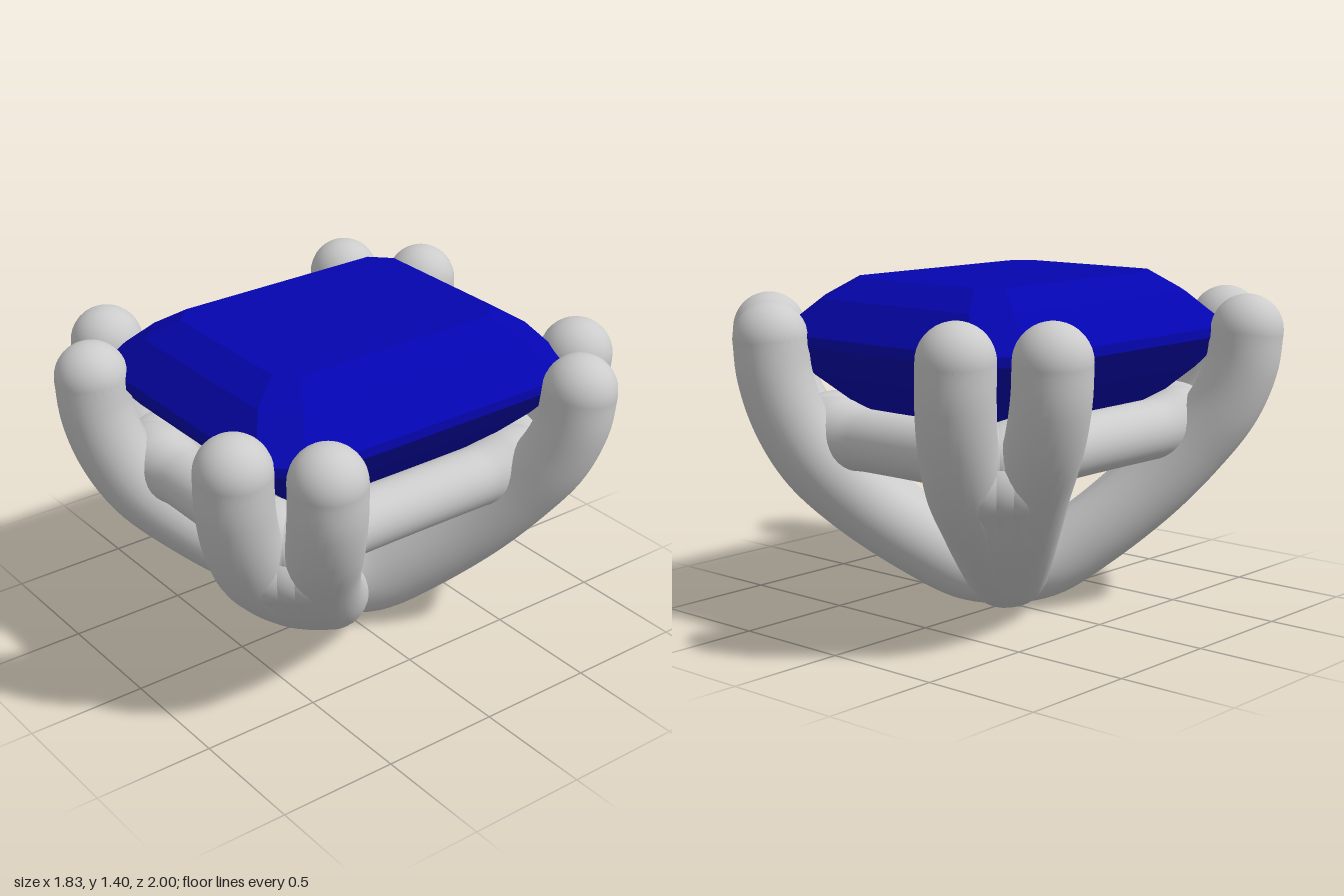
import * as THREE from 'three';
import { mergeGeometries } from 'three/addons/utils/BufferGeometryUtils.js';

const metal = new THREE.MeshStandardMaterial({ color: 0xcccccc });
const blue = new THREE.MeshStandardMaterial({ color: 0x0505b0, flatShading: true });

// Tube along a smooth path with a rounded tip
function rod(points, r) {
  const pts = points.map((p) => new THREE.Vector3(...p));
  const curve = new THREE.CatmullRomCurve3(pts, false, 'centripetal');
  const tip = pts[pts.length - 1];
  return mergeGeometries([
    new THREE.TubeGeometry(curve, 48, r, 28),
    new THREE.SphereGeometry(r, 28, 18).translate(tip.x, tip.y, tip.z),
  ]);
}

// Rail of half length h along y, swelling where it meets the prongs
function railGeometry(h) {
  const half = [[0.125, h - 0.36], [0.127, h - 0.28], [0.14, h - 0.21], [0.155, h - 0.14],
    [0.15, h - 0.05], [0.125, h + 0.02], [0.08, h + 0.08], [0, h + 0.1]];
  const profile = [...half.map(([r, y]) => [r, -y]).reverse(), ...half];
  const curve = new THREE.CatmullRomCurve3(profile.map(([r, y]) => new THREE.Vector3(r, y, 0)));
  return new THREE.LatheGeometry(
    curve.getPoints(60).map((p) => new THREE.Vector2(Math.max(p.x, 0), p.y)), 28);
}

// Rectangle with cut corners at height y
function octagon([x, z, cut, y]) {
  return [
    [x, z - cut], [x - cut, z], [cut - x, z], [-x, z - cut],
    [-x, cut - z], [cut - x, -z], [x - cut, -z], [x, cut - z],
  ].map(([px, pz]) => [px, y, pz]);
}

// Step-cut stone lofted from cut-corner rings, bottom to top
function stoneGeometry() {
  const rings = [
    [0.42, 0.5, 0.09, 0.86], [0.56, 0.66, 0.11, 1.01], [0.66, 0.77, 0.13, 1.14],
    [0.66, 0.77, 0.13, 1.18], [0.51, 0.66, 0.12, 1.32], [0.39, 0.54, 0.08, 1.4],
  ].map(octagon);
  const pos = [];
  const tri = (a, b, c) => pos.push(...a, ...b, ...c);
  const culet = [0, 0.58, 0], table = [0, 1.4, 0];
  const top = rings[rings.length - 1];
  for (let i = 0; i < 8; i++) {
    const j = (i + 1) % 8;
    tri(culet, rings[0][i], rings[0][j]);
    for (let k = 0; k < rings.length - 1; k++) {
      const lo = rings[k], hi = rings[k + 1];
      tri(lo[i], hi[i], hi[j]);
      tri(lo[i], hi[j], lo[j]);
    }
    tri(table, top[j], top[i]);
  }
  const g = new THREE.BufferGeometry();
  g.setAttribute('position', new THREE.Float32BufferAttribute(pos, 3));
  g.computeVertexNormals();
  return g;
}

export function createModel() {
  const model = new THREE.Group();
  const add = (name, geometry, material = metal) => {
    const mesh = new THREE.Mesh(geometry, material);
    mesh.name = name;
    model.add(mesh);
    return mesh;
  };

  // Paired prongs at each corner, their lower parts filled to one trunk
  const endProng = [[0, 0.15, 0], [0.1, 0.185, 0.14], [0.205, 0.3, 0.31], [0.335, 0.5, 0.545],
    [0.41, 0.68, 0.71], [0.46, 0.86, 0.8], [0.49, 1.03, 0.842], [0.5, 1.17, 0.85]];
  const sideProng = [[0, 0.15, 0], [0.12, 0.185, 0.11], [0.255, 0.3, 0.235], [0.44, 0.5, 0.4],
    [0.575, 0.68, 0.505], [0.69, 0.86, 0.575], [0.75, 1.03, 0.61], [0.765, 1.17, 0.62]];
  const between = (t) => endProng.slice(0, 5)
    .map((p, i) => p.map((v, k) => v + (sideProng[i][k] - v) * t));
  for (const sx of [-1, 1]) for (const sz of [-1, 1]) {
    const place = (path) => path.map(([x, y, z]) => [sx * x, y, sz * z]);
    add('endProng', rod(place(endProng), 0.15));
    add('sideProng', rod(place(sideProng), 0.15));
    for (const t of [0.25, 0.5, 0.75]) add('prongTrunk', rod(place(between(t)), 0.15));
  }
  const base = add('base', new THREE.SphereGeometry(0.15, 32, 20));
  base.scale.set(1.35, 1, 1.35);
  base.position.y = 0.155;

  // Gallery rail under the stone
  const rx = 0.5, rz = 0.62, ry = 0.765;
  for (const s of [-1, 1]) {
    const endRail = add('endRail', railGeometry(rx));
    endRail.rotation.z = Math.PI / 2;
    endRail.position.set(0, ry, s * rz);
    const sideRail = add('sideRail', railGeometry(rz));
    sideRail.rotation.x = Math.PI / 2;
    sideRail.position.set(s * rx, ry, 0);
  }

  add('stone', stoneGeometry(), blue);
  return model;
}
